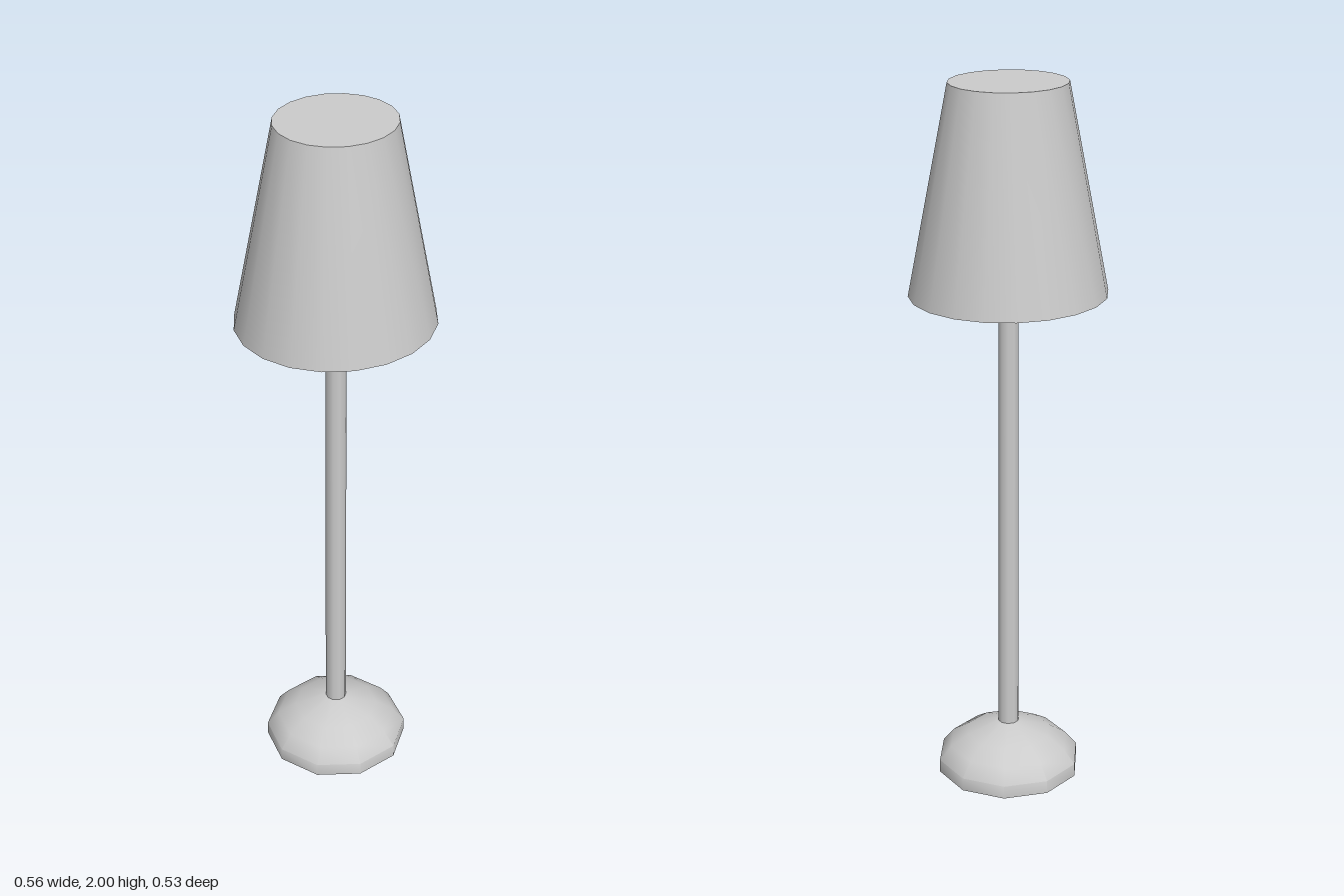
import * as THREE from 'three';
import { toCreasedNormals } from 'three/addons/utils/BufferGeometryUtils.js';

const material = new THREE.MeshStandardMaterial({ color: 0xcccccc });
const turn = THREE.MathUtils.degToRad(9);

// Revolve a profile of [radius, height] pairs, keeping sharp edges
function revolve(name, profile, sides, start = 0) {
  const points = profile.map(([r, y]) => new THREE.Vector2(r, y));
  const lathe = new THREE.LatheGeometry(points, sides, start);
  const mesh = new THREE.Mesh(toCreasedNormals(lathe, 0.75), material);
  mesh.name = name;
  return mesh;
}

export function createModel() {
  const lamp = new THREE.Group();
  lamp.name = 'floorLamp';

  // Low domed foot with a flat underside
  lamp.add(revolve('base', [
    [0, 0], [0.205, 0], [0.205, 0.038], [0.172, 0.078], [0.12, 0.111], [0.03, 0.145], [0, 0.145],
  ], 10, turn));

  // Slender pole, slightly tapered
  const pole = new THREE.Mesh(
    new THREE.CylinderGeometry(0.028, 0.03, 1.42, 10, 1, false, turn), material);
  pole.name = 'pole';
  pole.position.y = 0.84;
  lamp.add(pole);

  // Slightly oval shade: closed top, thin rim, shallow recess underneath
  const shade = revolve('shade', [
    [0, 1.545], [0.246, 1.545], [0.268, 1.43], [0.278, 1.43], [0.165, 2], [0, 2],
  ], 20, Math.PI / 2);
  shade.scale.z = 0.96;
  lamp.add(shade);

  return lamp;
}
